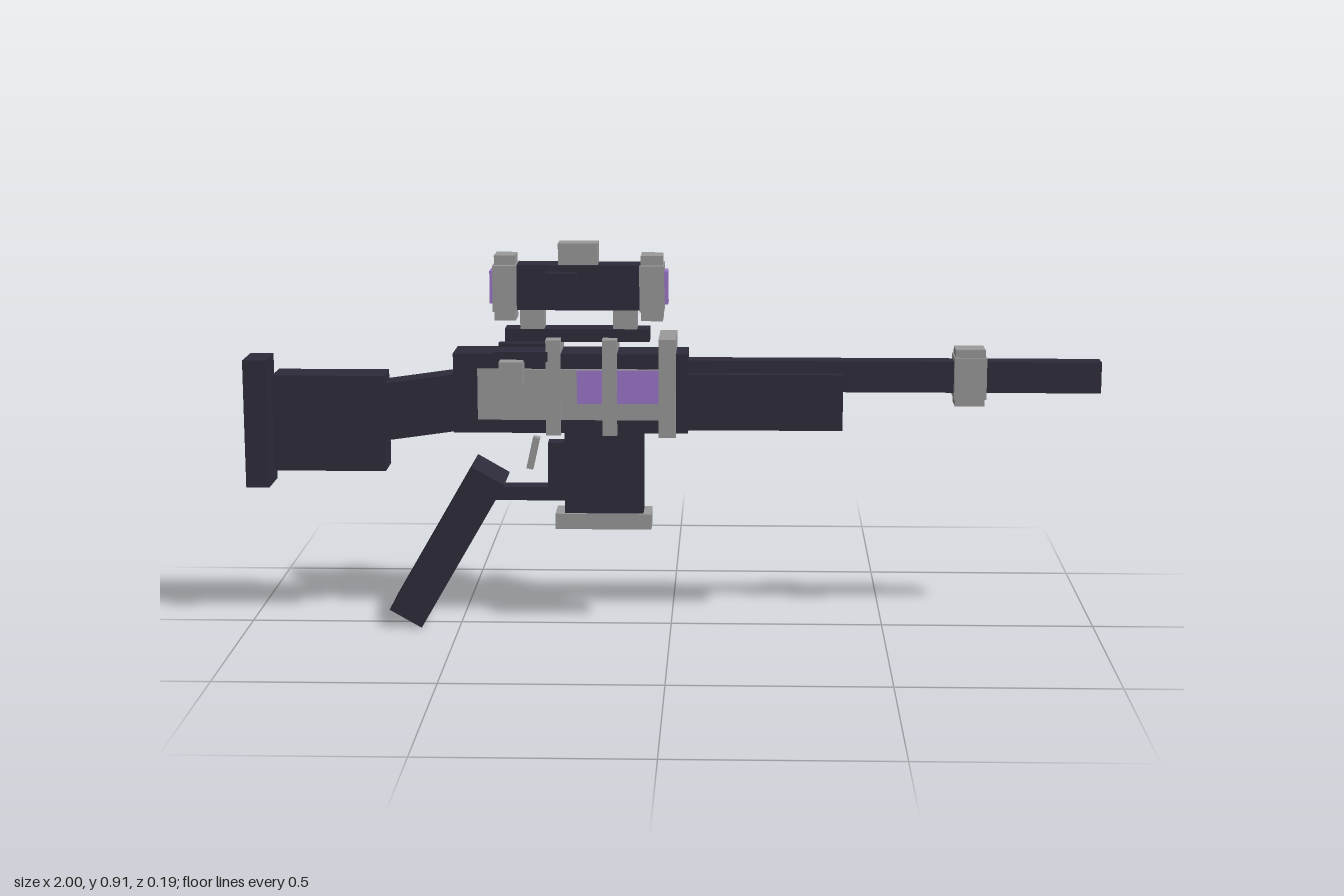
import * as THREE from 'three';

const mat = (name, color) => new THREE.MeshStandardMaterial({ name, color });

export function createModel() {
  const dark = mat('darkBody', 0x2d2b3a);
  const grey = mat('greyMetal', 0x999999);
  const purple = mat('purpleGlow', 0x9b76c8);
  const model = new THREE.Group();
  model.name = 'rifle';
  const ZC = -0.019; // centre plane of the body

  // Box from its limits in x, y and z, with an optional tilt about z
  function box(name, material, [x0, x1], [y0, y1], [z0, z1], tilt = 0) {
    const mesh = new THREE.Mesh(new THREE.BoxGeometry(x1 - x0, y1 - y0, z1 - z0), material);
    mesh.position.set((x0 + x1) / 2, (y0 + y1) / 2, (z0 + z1) / 2);
    mesh.rotation.z = tilt;
    mesh.name = name;
    model.add(mesh);
    return mesh;
  }
  const wide = (half) => [ZC - half, ZC + half];

  // Stepped collar: a wide block crossed by a taller, narrower one
  function collar(name, [x0, x1], [y0, y1], step, halfWide, halfNarrow) {
    box(name, grey, [x0, x1], [y0 + step, y1 - step], wide(halfWide));
    box(name + 'Core', grey, [x0 + 0.003, x1 - 0.003], [y0, y1], wide(halfNarrow));
  }

  // Stock
  box('buttPlate', dark, [-1, -0.945], [0.333, 0.636], wide(0.052));
  box('stock', dark, [-0.932, -0.67], [0.373, 0.6], wide(0.046));
  box('stockNeck', dark, [-0.685, -0.48], [0.458, 0.592], wide(0.039), 0.14);

  // Receiver, handguard and barrel
  box('receiver', dark, [-0.507, 0.04], [0.468, 0.655], wide(0.053));
  box('handguard', dark, [0.03, 0.4], [0.475, 0.607], wide(0.047));
  box('barrel', dark, [0.03, 1], [0.563, 0.636], wide(0.025));
  collar('muzzleCollar', [0.658, 0.733], [0.532, 0.665], 0.018, 0.043, 0.032);

  // Grip, trigger and guard
  box('grip', dark, [-0.5705, -0.4835], [-0.005, 0.395], wide(0.074), -Math.PI / 6);
  box('triggerGuard', dark, [-0.43, -0.25], [0.3, 0.332], wide(0.025));
  box('guardPost', dark, [-0.29, -0.24], [0.3, 0.438], wide(0.025));
  box('trigger', grey, [-0.334, -0.318], [0.372, 0.449], wide(0.012), -0.22);

  // Magazine
  box('magazine', dark, [-0.25, -0.065], [0.26, 0.48], wide(0.036));
  box('magazineBase', grey, [-0.272, -0.046], [0.235, 0.272], wide(0.043));

  // Bands around the receiver
  for (const x of [-0.273, -0.142]) box('band', grey, [x - 0.017, x + 0.017], [0.465, 0.69], wide(0.07));
  box('frontBand', grey, [-0.028, 0.012], [0.462, 0.692], wide(0.074));

  // Side plates, mirrored on both sides
  for (const s of [-1, 1]) {
    const side = (a, b) => [ZC + s * a, ZC + s * b].sort((p, q) => p - q);
    box('sidePlate', grey, [-0.45, -0.01], [0.5, 0.62], side(0.045, 0.059));
    box('raisedPlate', grey, [-0.36, -0.275], [0.53, 0.62], side(0.055, 0.064));
    box('energyPanel', purple, [-0.218, -0.02], [0.54, 0.618], side(0.058, 0.066));
    box('sideStrip', dark, [-0.41, -0.285], [0.64, 0.663], side(0.045, 0.076));
  }
  box('boltHandle', grey, [-0.395, -0.34], [0.588, 0.645], [0.03, 0.096]);

  // Scope rail and mounts
  box('scopeRail', dark, [-0.387, -0.05], [0.68, 0.71], wide(0.03));
  for (const x of [-0.323, -0.107]) box('scopeMount', grey, [x - 0.028, x + 0.028], [0.705, 0.77], wide(0.029));

  // Scope
  box('scopeTube', dark, [-0.37, -0.06], [0.755, 0.86], wide(0.036));
  collar('rearScopeRing', [-0.413, -0.358], [0.73, 0.882], 0.022, 0.049, 0.035);
  collar('frontScopeRing', [-0.073, -0.016], [0.73, 0.882], 0.022, 0.049, 0.035);
  box('rearLens', purple, [-0.422, -0.413], [0.768, 0.845], wide(0.025));
  box('frontLens', purple, [-0.016, -0.007], [0.768, 0.845], wide(0.025));
  box('topKnob', grey, [-0.262, -0.17], [0.85, 0.91], wide(0.03));
  box('sideKnob', dark, [-0.289, -0.218], [0.769, 0.845], [0, 0.049]);

  return model;
}
